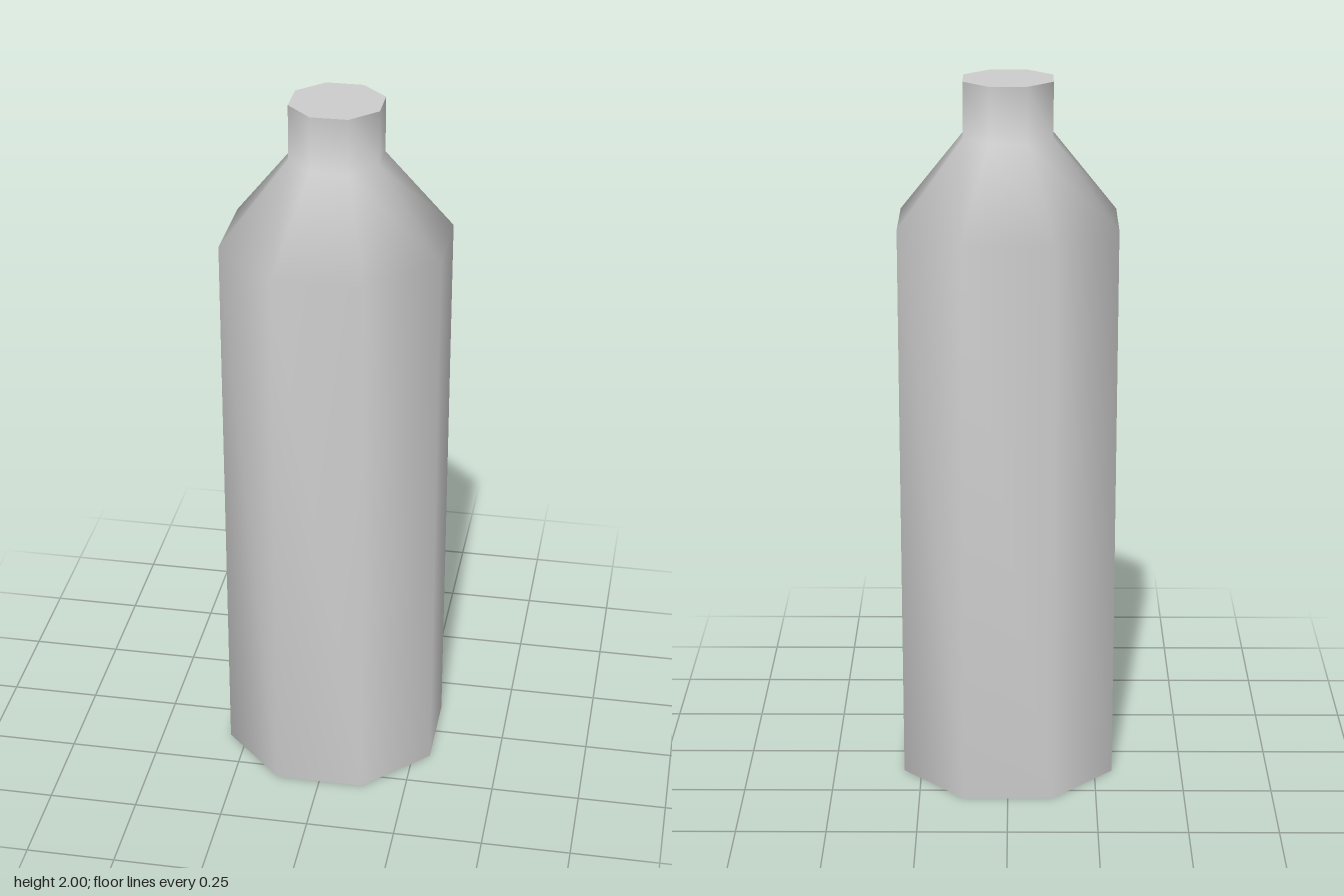
import * as THREE from 'three';
import { mergeVertices } from 'three/addons/utils/BufferGeometryUtils.js';

export function createModel() {
  const model = new THREE.Group();
  model.name = 'bottle';

  const grey = new THREE.MeshStandardMaterial({ color: 0xcccccc });
  grey.name = 'light grey';

  const SIDES = 8;
  const TURN = Math.PI / SIDES; // puts a flat side at the front
  const across = (half) => half / Math.cos(TURN); // half width to corner radius
  const bodyRadius = across(0.3);
  const neckRadius = across(0.122);

  const add = (name, geometry) => {
    const mesh = new THREE.Mesh(geometry, grey);
    mesh.name = name;
    model.add(mesh);
    return mesh;
  };

  // Body, shoulder and neck in one smooth skin, welded at the seam
  const profile = [
    [bodyRadius, 0],
    [bodyRadius, 1.61],
    [neckRadius, 1.845],
    [neckRadius, 2],
  ].map(([r, y]) => new THREE.Vector2(r, y));
  let skin = new THREE.LatheGeometry(profile, SIDES, TURN);
  skin.deleteAttribute('uv');
  skin.deleteAttribute('normal');
  skin = mergeVertices(skin, 1e-4);
  skin.computeVertexNormals();
  add('bottleBody', skin);

  // Flat, sharp-edged ends
  const disc = (radius) => new THREE.CircleGeometry(radius, SIDES, TURN);
  add('neckTop', disc(neckRadius).rotateX(-Math.PI / 2).translate(0, 2, 0));
  add('base', disc(bodyRadius).rotateX(Math.PI / 2));

  return model;
}
